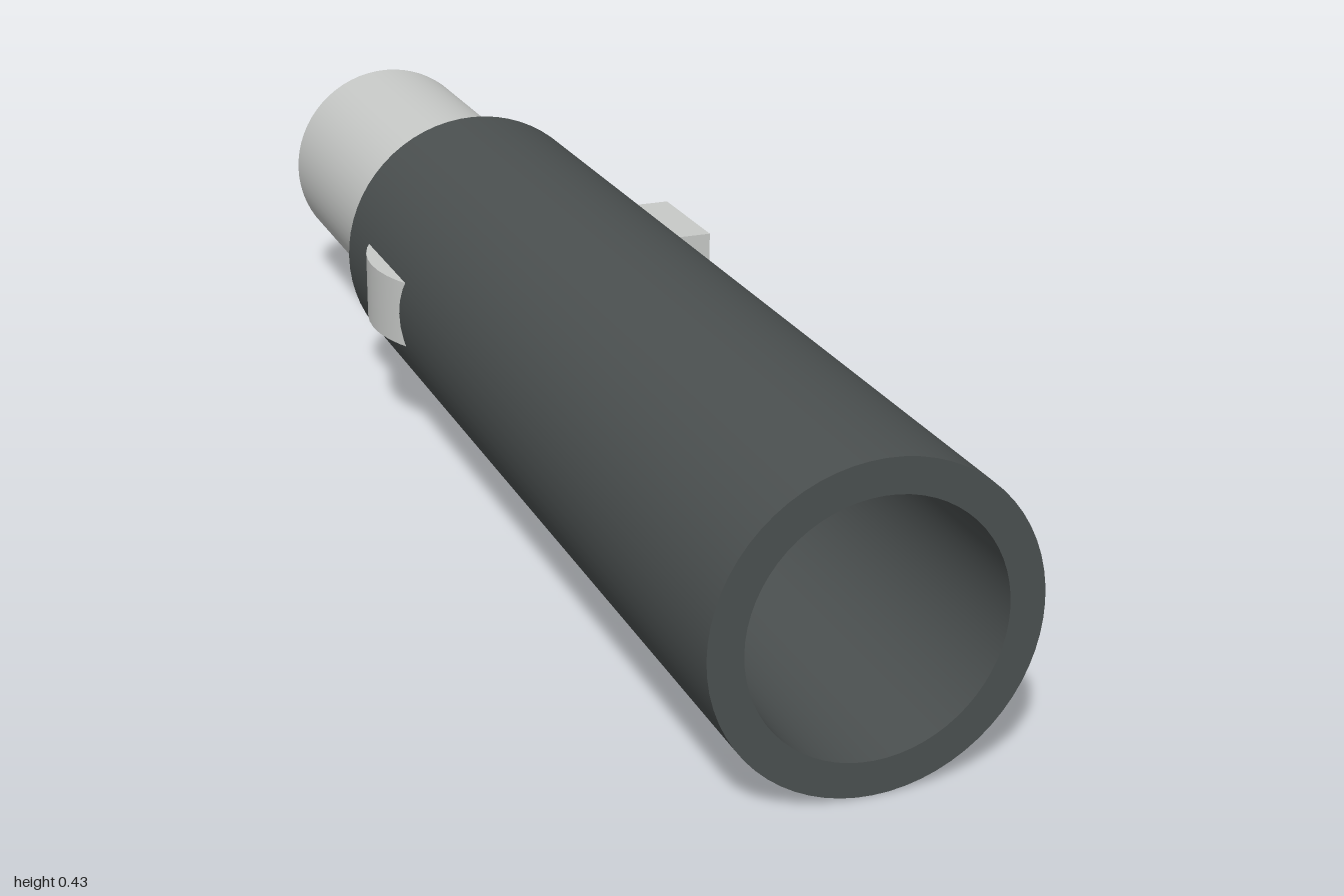
import * as THREE from 'three';

const CX = -0.032, CY = 0.2125; // shared axis of both tubes

// Hollow tube along z with creased rims: each wall of the section is its own strip
function tube(name, outer, inner, z0, z1, material) {
  const group = new THREE.Group();
  group.name = name;
  const section = [[outer, z0], [outer, z1], [inner, z1], [inner, z0]];
  const wallNames = ['outerWall', 'frontRim', 'innerWall', 'backRim'];
  section.forEach((p, i) => {
    const q = section[(i + 1) % 4];
    const geometry = new THREE.LatheGeometry(
      [new THREE.Vector2(...p), new THREE.Vector2(...q)], 64);
    geometry.rotateX(Math.PI / 2);
    const mesh = new THREE.Mesh(geometry, material);
    mesh.name = wallNames[i];
    group.add(mesh);
  });
  group.position.set(CX, CY, 0);
  return group;
}

export function createModel() {
  const dark = new THREE.MeshStandardMaterial({ color: 0x4b5050 });
  dark.name = 'darkGrey';
  const light = new THREE.MeshStandardMaterial({ color: 0xc8cac8 });
  light.name = 'lightGrey';
  const model = new THREE.Group();
  model.name = 'telescopicTube';

  const add = (name, geometry, x, y, z) => {
    const mesh = new THREE.Mesh(geometry, light);
    mesh.name = name;
    mesh.position.set(x, y, z);
    model.add(mesh);
  };

  // Outer sleeve and the tube sliding inside it
  model.add(tube('outerSleeve', 0.2125, 0.167, -0.49, 1, dark));
  model.add(tube('innerTube', 0.1665, 0.127, -1, 0.2, light));

  // Locking disc crossing the tubes, bulging out on one side
  add('lockingDisc', new THREE.CylinderGeometry(0.221, 0.221, 0.102, 48), -0.041, 0.214, -0.29);

  // Button block and its hinge pin on the other side
  add('buttonBlock', new THREE.BoxGeometry(0.097, 0.138, 0.18), 0.2135, 0.214, -0.29);
  const pin = new THREE.CylinderGeometry(0.034, 0.034, 0.226, 32);
  pin.rotateX(Math.PI / 2);
  add('hingePin', pin, 0.186, 0.214, -0.29);

  return model;
}
